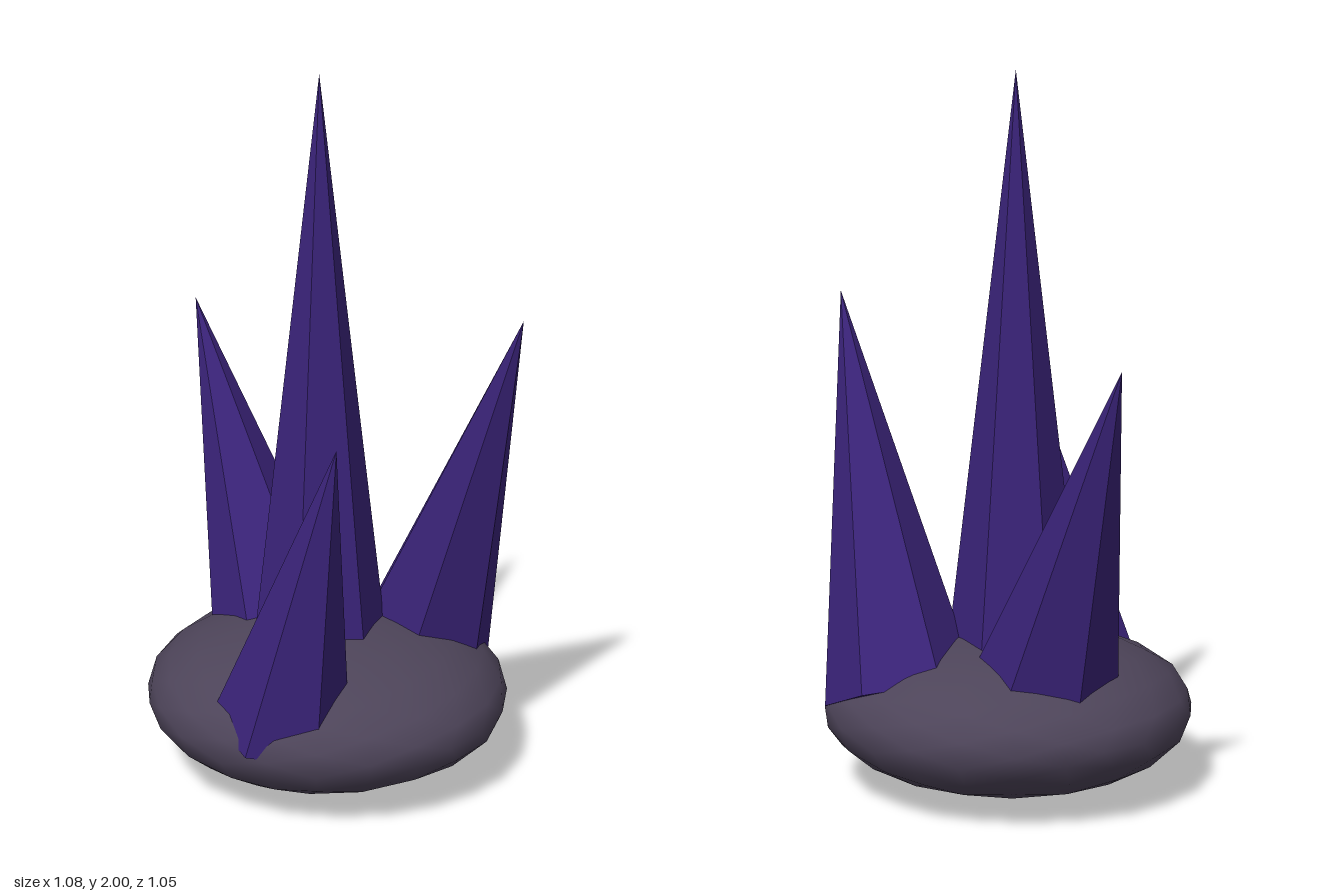
import * as THREE from 'three';
import { mergeVertices } from 'three/addons/utils/BufferGeometryUtils.js';

const V = (x, y, z) => new THREE.Vector3(x, y, z);

// Squashed, slightly uneven boulder with smooth normals
function makeRock(material) {
  let geo = new THREE.IcosahedronGeometry(1, 3);
  geo.deleteAttribute('uv');
  geo.deleteAttribute('normal');
  geo = mergeVertices(geo, 1e-4);
  const pos = geo.attributes.position;
  for (let i = 0; i < pos.count; i++) {
    const x = pos.getX(i), y = pos.getY(i), z = pos.getZ(i);
    const bump = 1 + 0.012 * Math.sin(5 * x + 2 * y) * Math.cos(4 * z + 1.3);
    pos.setXYZ(i, -0.013 + x * 0.525 * bump, 0.222 + y * 0.22, z * 0.522 * bump);
  }
  geo.computeVertexNormals();
  const mesh = new THREE.Mesh(geo, material);
  mesh.name = 'rockBase';
  return mesh;
}

// Six-sided spike from base centre to tip; one ridge points along "ridge"
function makeSpike(name, base, tip, radius, ridge, material) {
  const axis = tip.clone().sub(base);
  const length = axis.length();
  axis.normalize();
  const side = axis.clone().cross(ridge).normalize();
  const front = side.clone().cross(axis);
  const geo = new THREE.ConeGeometry(radius, length, 6);
  geo.translate(0, length / 2, 0);
  const mesh = new THREE.Mesh(geo, material);
  mesh.quaternion.setFromRotationMatrix(new THREE.Matrix4().makeBasis(side, axis, front));
  mesh.position.copy(base);
  mesh.name = name;
  return mesh;
}

export function createModel() {
  const rock = new THREE.MeshStandardMaterial({ color: 0x4d4459 });
  rock.name = 'greyRock';
  const crystal = new THREE.MeshStandardMaterial({ color: 0x3a2379, flatShading: true });
  crystal.name = 'purpleCrystal';

  const model = new THREE.Group();
  model.name = 'crystalCluster';
  model.add(makeRock(rock));

  // Tall centre spike and three leaning outward around it
  const spikes = [
    ['centreSpike', V(-0.035, 0.38, 0), V(-0.035, 2, 0), 0.192, V(0, 0, 1)],
    ['frontSpike', V(-0.035, 0.25, 0.337), V(0.165, 1.11, 0.445), 0.195, V(-0.025, 0, 0.18)],
    ['leftBackSpike', V(0.195, 0.28, -0.237), V(0.54, 1.37, -0.005), 0.215, V(0.02, 0, 0.205)],
    ['rightBackSpike', V(-0.185, 0.28, -0.118), V(-0.54, 1.25, -0.34), 0.215, V(-0.007, 0, 0.187)],
  ];
  for (const [name, base, tip, radius, ridge] of spikes) {
    model.add(makeSpike(name, base, tip, radius, ridge, crystal));
  }
  return model;
}
